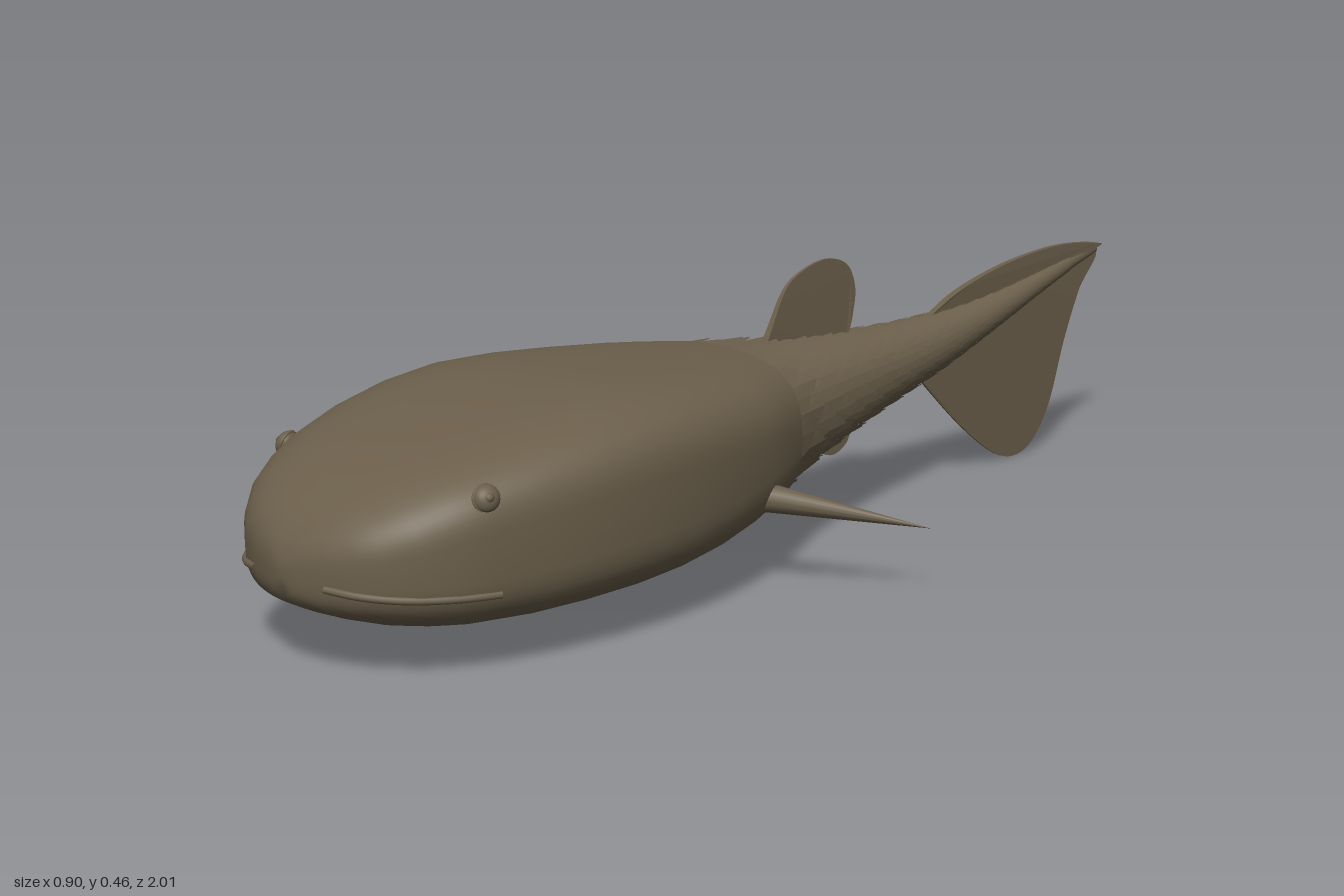
import * as THREE from 'three';
import { mergeGeometries } from 'three/addons/utils/BufferGeometryUtils.js';

// Cross-sections: [z, half width, top, bottom, squareness]
const HEAD = [
  [0.997, 0.03, 0.185, 0.125, 2.6], [0.985, 0.08, 0.21, 0.11, 2.8], [0.965, 0.13, 0.235, 0.098, 3],
  [0.94, 0.165, 0.255, 0.088, 3.2], [0.9, 0.203, 0.28, 0.076, 3.4], [0.85, 0.232, 0.302, 0.067, 3.6],
  [0.8, 0.253, 0.32, 0.061, 3.7], [0.7, 0.281, 0.346, 0.056, 3.7], [0.6, 0.295, 0.365, 0.055, 3.7],
  [0.5, 0.299, 0.375, 0.056, 3.7], [0.4, 0.292, 0.374, 0.059, 3.6], [0.3, 0.275, 0.369, 0.065, 3.4],
  [0.2, 0.249, 0.363, 0.074, 3.1], [0.13, 0.223, 0.357, 0.082, 2.9], [0.065, 0.192, 0.35, 0.09, 2.7],
];
const TAIL = [
  [0.09, 0.192, 0.345, 0.098, 2.6], [0.04, 0.168, 0.337, 0.105, 2.5], [0, 0.15, 0.331, 0.112, 2.4],
  [-0.1, 0.121, 0.325, 0.131, 2.3], [-0.2, 0.098, 0.319, 0.15, 2.2], [-0.3, 0.078, 0.313, 0.17, 2.1],
  [-0.4, 0.062, 0.311, 0.19, 2], [-0.5, 0.049, 0.313, 0.213, 2], [-0.6, 0.038, 0.32, 0.242, 2],
  [-0.7, 0.028, 0.331, 0.273, 2], [-0.8, 0.019, 0.347, 0.305, 2], [-0.9, 0.011, 0.364, 0.336, 2],
  [-0.997, 0.004, 0.379, 0.362, 2],
];

function sectionAt(sections, z) {
  let i = 0;
  while (i < sections.length - 2 && z < sections[i + 1][0]) i++;
  const a = sections[i], b = sections[i + 1];
  const t = THREE.MathUtils.clamp((a[0] - z) / (a[0] - b[0]), 0, 1);
  return a.map((v, k) => v + (b[k] - v) * t);
}

function ringPoint([z, w, top, bottom, n], angle, lift = 0) {
  const bend = (v) => Math.sign(v) * Math.abs(v) ** (2 / n);
  return [
    (w + lift) * bend(Math.cos(angle)),
    (top + bottom) / 2 + ((top - bottom) / 2 + lift) * bend(Math.sin(angle)),
    z,
  ];
}

// Smooth closed skin through the sections; frontZ is the middle of the front cap
function loft(sections, frontZ, around = 64) {
  const rings = [...sections, sections.at(-1)];
  const pos = [], index = [];
  for (const s of rings)
    for (let j = 0; j < around; j++) pos.push(...ringPoint(s, (j / around) * Math.PI * 2));
  const front = rings.length * around, rear = front + 1, last = (rings.length - 1) * around;
  const f = sections[0], r = sections.at(-1);
  pos.push(0, (f[2] + f[3]) / 2, frontZ, 0, (r[2] + r[3]) / 2, r[0]);
  for (let j = 0; j < around; j++) {
    const k = (j + 1) % around;
    index.push(front, j, k, rear, last + k, last + j);
    for (let i = 0; i < rings.length - 2; i++) {
      const a = i * around, b = a + around;
      index.push(a + j, b + j, a + k, b + j, b + k, a + k);
    }
  }
  const geo = new THREE.BufferGeometry();
  geo.setAttribute('position', new THREE.Float32BufferAttribute(pos, 3));
  geo.setIndex(index);
  geo.computeVertexNormals();
  return geo;
}

// Overlapping scales wrapped round the tail, lifted at their rear edge
function scales() {
  const outline = [[0, 0], [-0.52, 0.45], [-0.34, 0.8], [0, 1], [0.34, 0.8], [0.52, 0.45]];
  const count = 16, pos = [];
  for (let z = 0.1, row = 0; z > -0.88; row++) {
    const w = sectionAt(TAIL, z)[1], step = 0.016 + 0.18 * w;
    for (let j = 0; j < count; j++) {
      const corner = ([u, v]) => ringPoint(
        sectionAt(TAIL, z - v * step * 1.8),
        ((j + u * 1.05 + (row % 2) / 2) / count) * Math.PI * 2,
        0.001 + w * (0.01 + 0.075 * v),
      );
      for (let k = 1; k < outline.length - 1; k++)
        pos.push(...corner(outline[0]), ...corner(outline[k + 1]), ...corner(outline[k]));
    }
    z -= step;
  }
  const geo = new THREE.BufferGeometry();
  geo.setAttribute('position', new THREE.Float32BufferAttribute(pos, 3));
  geo.computeVertexNormals();
  return geo;
}

// Upright fin from a [z, y] outline, thinning away from its base height
function fin(points, depth, baseY) {
  const [first, ...rest] = points.map(([z, y]) => new THREE.Vector2(z, y));
  const shape = new THREE.Shape().moveTo(first.x, first.y);
  shape.splineThru(rest);
  const geo = new THREE.ExtrudeGeometry(shape, { depth, bevelEnabled: false, curveSegments: 30 })
    .translate(0, 0, -depth / 2)
    .rotateY(-Math.PI / 2);
  const p = geo.attributes.position;
  for (let i = 0; i < p.count; i++)
    p.setX(i, p.getX(i) * Math.max(0.35, 1 - Math.abs(p.getY(i) - baseY) * 5));
  geo.computeVertexNormals();
  return geo;
}

export function createModel() {
  const model = new THREE.Group();
  model.name = 'fish';
  const skin = new THREE.MeshStandardMaterial({ color: 0x6b5f4b });
  skin.name = 'brown skin';
  const scaleSkin = new THREE.MeshStandardMaterial({ color: 0x6b5f4b, side: THREE.DoubleSide });
  scaleSkin.name = 'brown scales';
  const add = (name, geometry, material = skin, parent = model) => {
    const mesh = new THREE.Mesh(geometry, material);
    mesh.name = name;
    parent.add(mesh);
    return mesh;
  };

  add('head', loft(HEAD, 1));
  add('tail', loft(TAIL, 0.09));
  add('scales', scales(), scaleSkin);

  // Fins along the middle
  add('dorsalFin', fin([[-0.03, 0.3], [-0.06, 0.355], [-0.1, 0.422], [-0.15, 0.45], [-0.21, 0.46],
    [-0.26, 0.443], [-0.28, 0.4], [-0.272, 0.35], [-0.25, 0.29]], 0.014, 0.33), scaleSkin);
  add('analFin', fin([[-0.15, 0.2], [-0.18, 0.13], [-0.22, 0.103], [-0.26, 0.117], [-0.272, 0.15],
    [-0.26, 0.2]], 0.008, 0.16), scaleSkin);
  add('lowerTailFin', fin([[-0.44, 0.23], [-0.48, 0.186], [-0.58, 0.095], [-0.68, 0.022], [-0.75, 0],
    [-0.81, 0.022], [-0.86, 0.09], [-0.9, 0.205], [-0.94, 0.295], [-0.99, 0.364], [-0.8, 0.325]],
  0.01, 0.28), scaleSkin);
  add('upperTailFin', fin([[-0.46, 0.3], [-0.56, 0.345], [-0.68, 0.375], [-0.8, 0.39], [-0.9, 0.392],
    [-0.995, 0.381], [-0.985, 0.37], [-0.75, 0.325]], 0.014, 0.34), scaleSkin);

  for (const side of [1, -1]) {
    const label = side > 0 ? 'left' : 'right';

    // Tapering side fin swept backwards
    const root = new THREE.Vector3(side * 0.21, 0.155, 0.2);
    const tip = new THREE.Vector3(side * 0.45, 0.112, 0.038);
    const length = root.distanceTo(tip);
    const pectoral = add(label + 'PectoralFin',
      new THREE.ConeGeometry(0.026, length, 14).translate(0, length / 2, 0));
    pectoral.position.copy(root);
    pectoral.quaternion.setFromUnitVectors(new THREE.Vector3(0, 1, 0), tip.sub(root).normalize());

    // Lip following the side of the snout
    const path = [0.79, 0.83, 0.87, 0.91, 0.94, 0.965, 0.984].map((z, i) => {
      const [, w, top, bottom, n] = sectionAt(HEAD, z);
      const y = 0.132 + 0.015 * (i / 6) ** 2;
      const v = Math.abs(y - (top + bottom) / 2) / ((top - bottom) / 2);
      return new THREE.Vector3(side * w * (1 - v ** n) ** (1 / n), y, z);
    });
    add(label + 'Lip', new THREE.TubeGeometry(new THREE.CatmullRomCurve3(path), 32, 0.006, 8));

    // Eye with raised rim and pupil
    const eye = new THREE.Group();
    eye.name = label + 'Eye';
    eye.position.set(side * 0.234, 0.277, 0.8);
    eye.lookAt(side * 1.1, 0.62, 1.1);
    model.add(eye);
    add('eyeball', mergeGeometries([
      new THREE.SphereGeometry(0.021, 20, 14).scale(1, 1, 0.75),
      new THREE.SphereGeometry(0.008, 12, 8).translate(0, 0, 0.011),
    ]), skin, eye);
    add('eyeRim', new THREE.TorusGeometry(0.02, 0.003, 8, 24), skin, eye);
  }
  return model;
}
